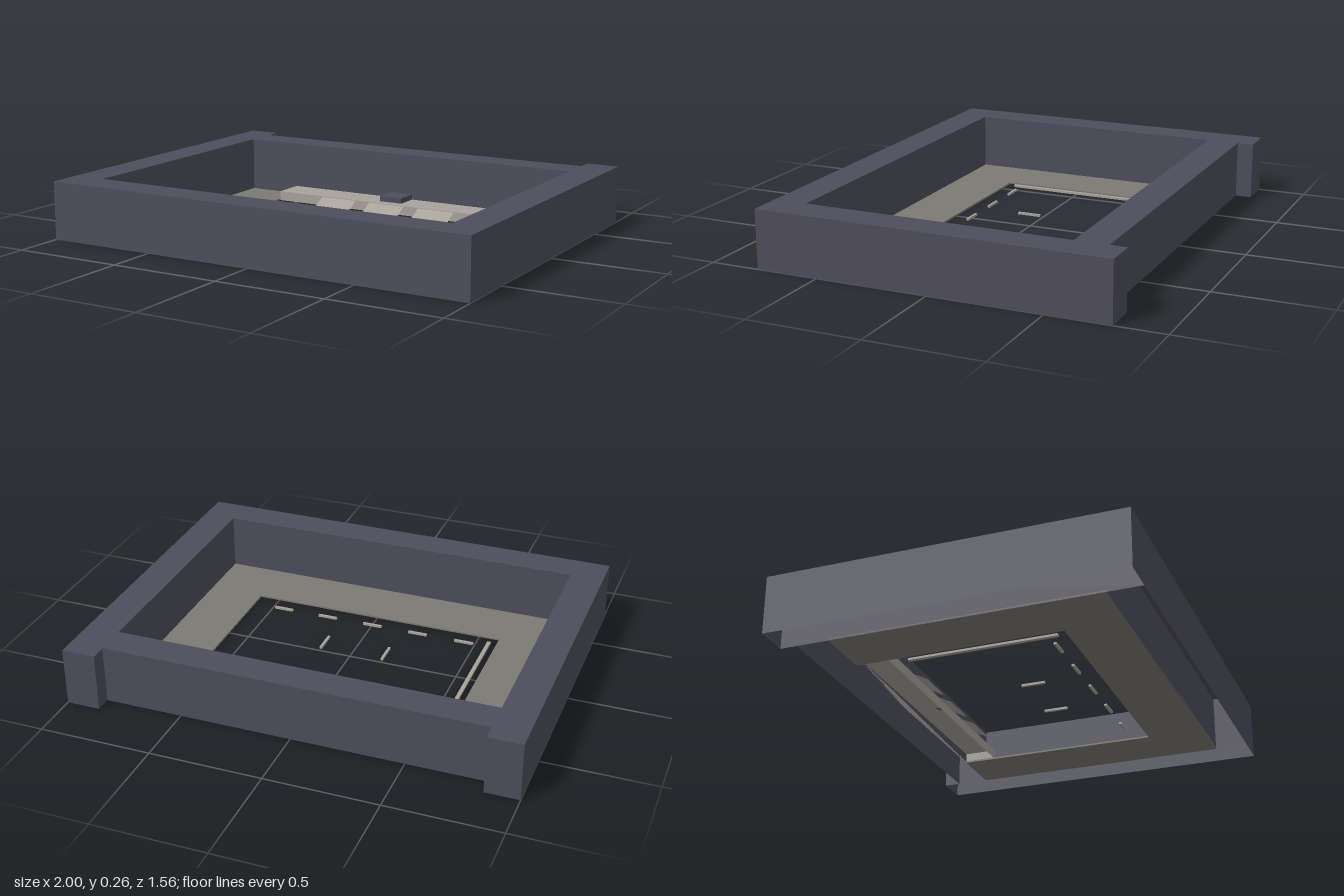
import * as THREE from 'three';

const wallMat = new THREE.MeshStandardMaterial({ color: 0x4e4d5c, side: THREE.DoubleSide });
wallMat.name = 'slate';
const floorMat = new THREE.MeshStandardMaterial({ color: 0x7b7a73, side: THREE.DoubleSide });
floorMat.name = 'stone grey';
const trimMat = new THREE.MeshStandardMaterial({ color: 0xa8a29b, side: THREE.DoubleSide });
trimMat.name = 'warm grey';

export function createModel() {
  const model = new THREE.Group();
  model.name = 'walledTray';

  // Box given by its limits; openBottom leaves out the underside
  function box(name, mat, [x0, x1], [y0, y1], [z0, z1], openBottom = false) {
    const geo = new THREE.BoxGeometry(x1 - x0, y1 - y0, z1 - z0);
    if (openBottom) {
      const index = Array.from(geo.index.array);
      index.splice(18, 6);
      geo.setIndex(index);
      geo.clearGroups();
    }
    geo.translate((x0 + x1) / 2, (y0 + y1) / 2, (z0 + z1) / 2);
    const mesh = new THREE.Mesh(geo, mat);
    mesh.name = name;
    model.add(mesh);
    return mesh;
  }

  // Hollow outer walls, the side walls running past the back wall
  const H = [0, 0.26];
  box('leftWall', wallMat, [0.85, 1], H, [-0.78, 0.78], true);
  box('rightWall', wallMat, [-1, -0.85], H, [-0.78, 0.78], true);
  box('frontWall', wallMat, [-0.85, 0.85], H, [0.63, 0.78], true);
  box('backWall', wallMat, [-0.85, 0.85], H, [-0.706, -0.56], true);

  // U-shaped floor border around the opening
  const border = new THREE.Shape([
    [-0.85, 0.56], [-0.85, -0.63], [0.85, -0.63], [0.85, 0.56],
    [0.595, 0.56], [0.595, -0.37], [-0.595, -0.37], [-0.595, 0.56],
  ].map(([x, y]) => new THREE.Vector2(x, y)));
  const floorGeo = new THREE.ExtrudeGeometry(border, { depth: 0.008, bevelEnabled: false });
  floorGeo.rotateX(-Math.PI / 2);
  const floor = new THREE.Mesh(floorGeo, floorMat);
  floor.name = 'floorBorder';
  model.add(floor);

  // Hollow shelf along the back, with a small block on it
  box('backShelf', trimMat, [-0.595, 0.595], [0, 0.045], [-0.56, -0.41], true);
  box('shelfBlock', wallMat, [-0.058, 0.055], [0.045, 0.07], [-0.56, -0.45]);

  // Three sloping flaps on the front of the shelf
  for (const x of [-0.262, -0.003, 0.257]) {
    const geo = new THREE.PlaneGeometry(0.185, Math.hypot(0.07, 0.036));
    geo.rotateX(-Math.PI / 2 + Math.atan2(0.036, 0.07));
    geo.translate(x, 0.024, -0.375);
    const flap = new THREE.Mesh(geo, trimMat);
    flap.name = 'shelfFlap';
    model.add(flap);
  }

  // Thin strips lying in the opening
  const T = [0, 0.01];
  box('sideRail', trimMat, [-0.567, -0.55], T, [-0.335, 0.33]);
  for (const x of [-0.147, 0.147]) box('middleStrip', trimMat, [x - 0.006, x + 0.006], T, [0.015, 0.123]);
  for (let i = -2; i <= 2; i++) {
    const x = i * 0.2225 - 0.003;
    box('frontStrip', trimMat, [x - 0.045, x + 0.045], T, [0.287, 0.299]);
  }

  return model;
}
